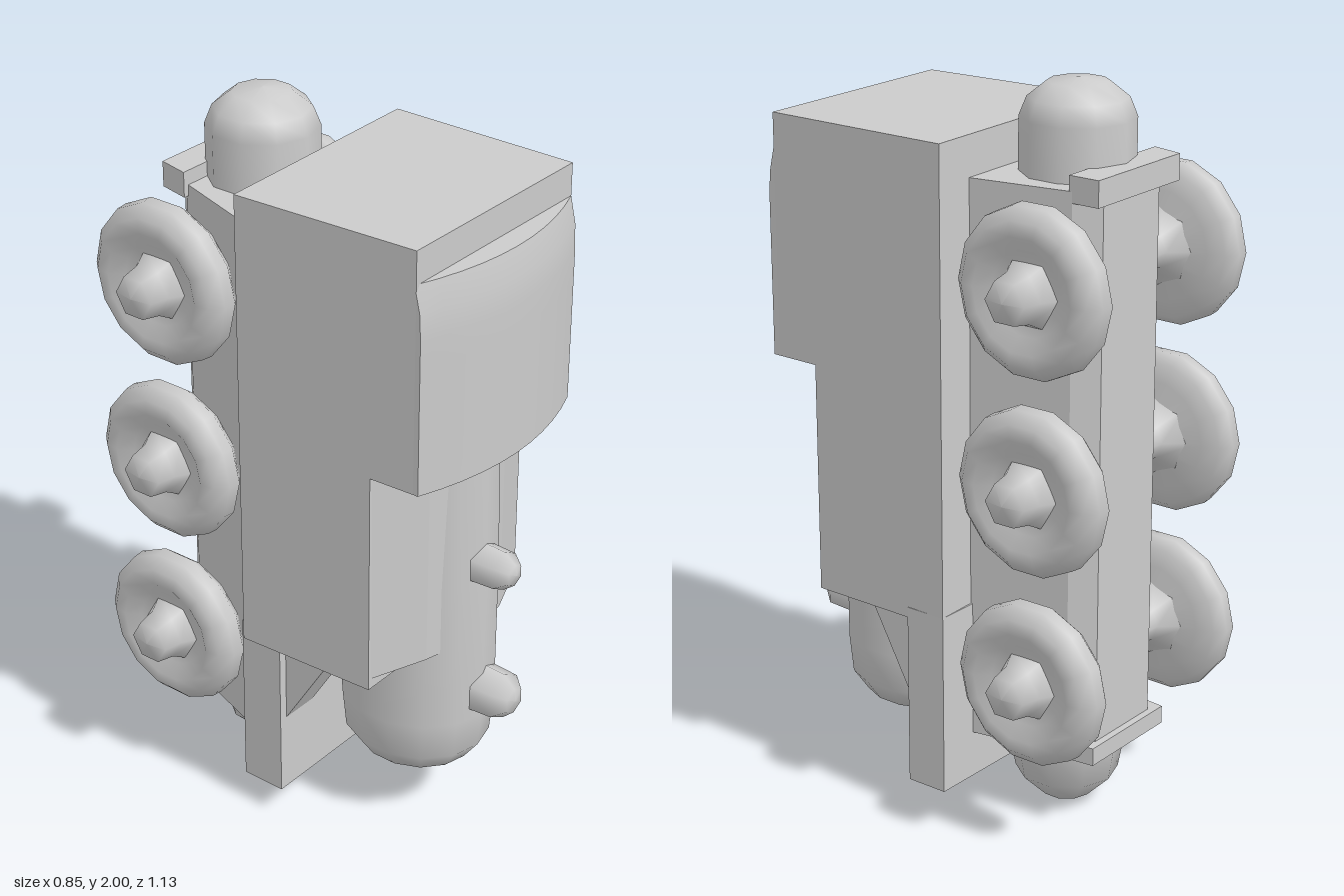
import * as THREE from 'three';

const material = new THREE.MeshStandardMaterial({ color: 0xcccccc, side: THREE.DoubleSide });

function addMesh(parent, name, geometry, x = 0, y = 0, z = 0) {
  const mesh = new THREE.Mesh(geometry, material);
  mesh.name = name;
  mesh.position.set(x, y, z);
  parent.add(mesh);
  return mesh;
}

// Upright prism from a plan outline of [x, z] points
function prism(points, y0, y1) {
  const shape = new THREE.Shape(points.map(([x, z]) => new THREE.Vector2(x, -z)));
  const geometry = new THREE.ExtrudeGeometry(shape, { depth: y1 - y0, bevelEnabled: false });
  return geometry.rotateX(-Math.PI / 2).translate(0, y0, 0);
}

function lathe(points, sides) {
  return new THREE.LatheGeometry(points.map(([r, y]) => new THREE.Vector2(r, y)), sides);
}

export function createModel() {
  const group = new THREE.Group();

  // Footplate, body and cab
  addMesh(group, 'footplate', prism([[-0.31, 0.04], [0.34, 0.04], [0.34, -0.08], [-0.31, -0.09]], 0.09, 0.6));
  addMesh(group, 'body', prism([[-0.32, 0.35], [0.335, 0.35], [0.34, -0.08], [-0.34, -0.06]], 0.57, 1.25));
  addMesh(group, 'cab', prism([[-0.315, 0.48], [0.335, 0.475], [0.34, -0.08], [-0.34, -0.06]], 1.21, 1.87));

  // Cab roof: a shallow arch whose rear edge rolls over
  const roof = new THREE.BoxGeometry(0.65, 0.57, 0.12, 10, 8, 1);
  const p = roof.attributes.position;
  for (let i = 0; i < p.count; i++) {
    if (p.getZ(i) <= 0) continue;
    const u = p.getX(i) / 0.325, v = Math.max(0, (p.getY(i) - 0.16) / 0.125);
    p.setZ(i, 0.06 - 0.065 * u * u - 0.02 * v * v);
  }
  roof.computeVertexNormals();
  addMesh(group, 'cabRoof', roof, 0.01, 1.495, 0.5);

  // Boiler with a pointed nose, and the sloping tops of the body beside it
  const boiler = addMesh(group, 'boiler', lathe([
    [0, 0.13], [0.06, 0.17], [0.15, 0.19], [0.19, 0.25], [0.2, 0.36], [0.2, 0.8], [0.19, 1.25]], 14), 0.02, 0, 0.255);
  boiler.scale.z = 1.1;
  addMesh(group, 'boilerShoulder', prism(
    [[-0.31, 0.35], [-0.15, 0.41], [0.02, 0.45], [0.18, 0.41], [0.33, 0.35]], 0.6, 1.21));

  // Wedges between the footplate and the body
  for (const [side, x, base] of [['left', 0.25, 0.25], ['right', -0.23, 0.29]]) {
    const wedge = new THREE.Shape([
      new THREE.Vector2(0.02, base), new THREE.Vector2(0.2, 0.58), new THREE.Vector2(0.02, 0.58)]);
    const geometry = new THREE.ExtrudeGeometry(wedge, { depth: 0.11, bevelEnabled: false })
      .rotateY(-Math.PI / 2).translate(0.055, 0, 0);
    addMesh(group, side + 'Wedge', geometry, x);
  }

  // Funnel and dome on the boiler
  const stack = [[0, 0.57], [0.035, 0.565], [0.065, 0.53], [0.07, 0.43]];
  for (const [name, x, y, s] of [['dome', 0.02, 0.84, 0.9], ['funnel', 0.04, 0.43, 1.08]]) {
    const mesh = addMesh(group, name, lathe(stack, 6).rotateX(Math.PI / 2), x, y, 0);
    mesh.scale.set(s, s, 1);
  }

  // Tapered chassis with a rounded keel and a rear lip
  addMesh(group, 'chassis', prism([
    [-0.28, -0.06], [0.22, -0.06], [0.17, -0.36], [0.12, -0.42], [-0.12, -0.42], [-0.18, -0.36]], 0.22, 1.76));
  addMesh(group, 'rearLip', prism([[-0.2, -0.35], [0.17, -0.35], [0.17, -0.44], [-0.18, -0.44]], 1.73, 1.8));
  addMesh(group, 'frontLip', prism([[-0.17, -0.35], [0.17, -0.35], [0.16, -0.44], [-0.16, -0.44]], 0.21, 0.26));

  // Round couplings at both ends of the chassis
  addMesh(group, 'rearCoupling', lathe([
    [0.15, 1.6], [0.15, 1.9], [0.13, 1.95], [0.08, 1.99], [0, 2]], 10), -0.01, 0, -0.245);
  addMesh(group, 'frontCoupling', lathe([
    [0, 0], [0.07, 0.02], [0.14, 0.09], [0.16, 0.2], [0.17, 0.35]], 10), 0.01, 0, -0.245);

  // Dished wheels with a hub and a flared axle, in three pairs
  const wheelShape = lathe([
    [0.06, 0.22], [0.15, 0.24], [0.2, 0.25], [0.225, 0.28], [0.222, 0.315],
    [0.19, 0.345], [0.15, 0.35], [0.11, 0.325], [0.06, 0.32]], 14).rotateZ(-Math.PI / 2);
  const hubShape = lathe([[0.1, 0.31], [0.07, 0.36], [0.06, 0.415], [0, 0.425]], 6).rotateZ(-Math.PI / 2);
  const axleShape = lathe([[0.05, 0.1], [0.06, 0.19], [0.13, 0.25]], 8).rotateZ(-Math.PI / 2);
  for (const y of [0.475, 1.005, 1.53]) {
    for (const side of [1, -1]) {
      const wheel = new THREE.Group();
      wheel.name = side > 0 ? 'leftWheel' : 'rightWheel';
      wheel.position.set(0, y, -0.34);
      if (side < 0) wheel.rotation.y = Math.PI;
      addMesh(wheel, 'tyre', wheelShape);
      addMesh(wheel, 'hub', hubShape);
      addMesh(wheel, 'axle', axleShape);
      group.add(wheel);
    }
  }
  return group;
}
